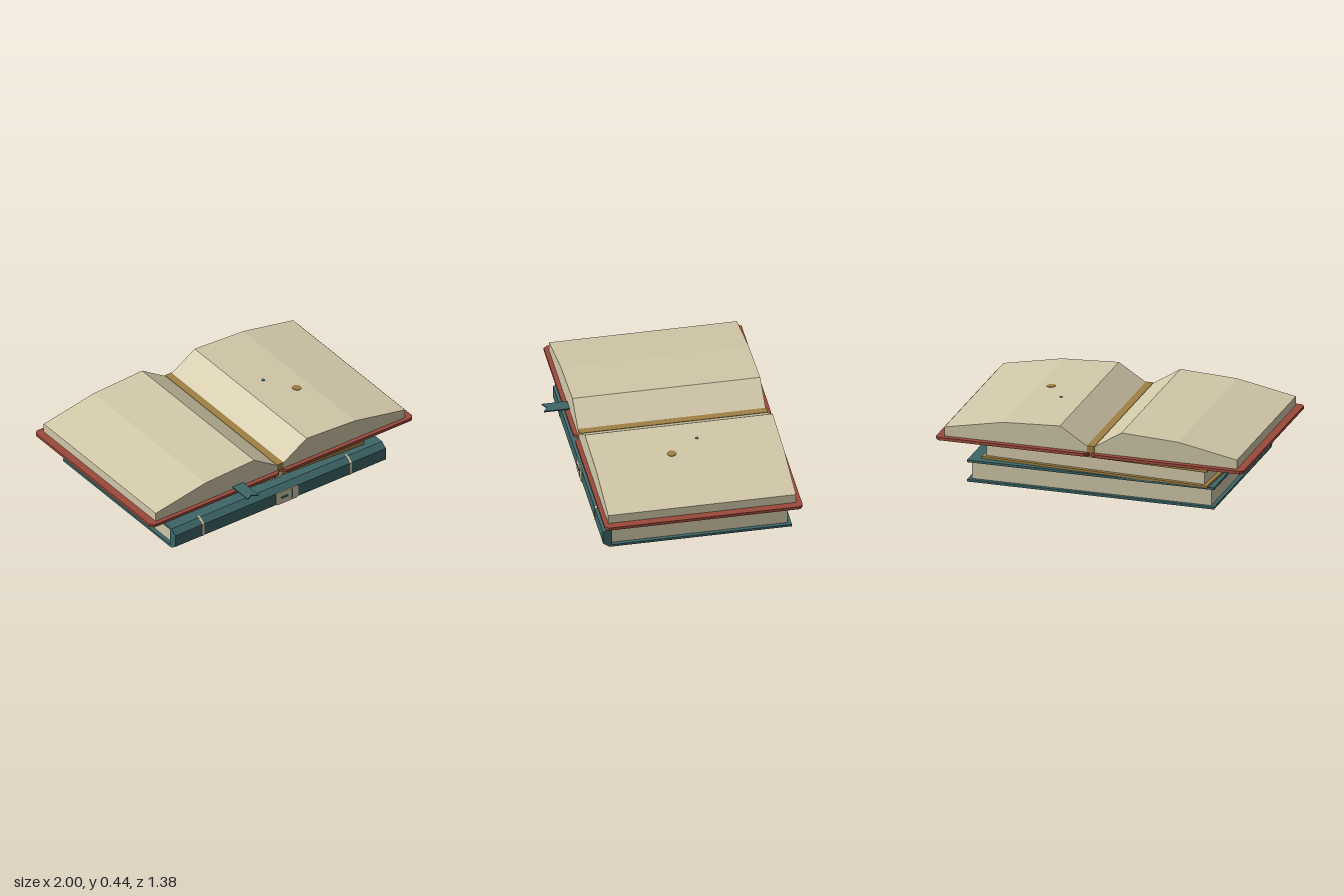
import * as THREE from 'three';

const mat = (name, color) => {
  const m = new THREE.MeshStandardMaterial({ color });
  m.name = name;
  return m;
};

export function createModel() {
  const model = new THREE.Group();
  model.name = 'bookStack';
  const teal = mat('teal', 0x3d6668);
  const gold = mat('gold', 0xa08044);
  const red = mat('red', 0x9b4a3b);
  const cream = mat('cream', 0xd3c9aa);

  const add = (parent, name, geo, material) => {
    const m = new THREE.Mesh(geo, material);
    m.name = name;
    parent.add(m);
    return m;
  };
  // box given by its limits on each axis
  const box = (x0, x1, y0, y1, z0, z1) =>
    new THREE.BoxGeometry(x1 - x0, y1 - y0, z1 - z0)
      .translate((x0 + x1) / 2, (y0 + y1) / 2, (z0 + z1) / 2);
  const extrude = (pts, depth) =>
    new THREE.ExtrudeGeometry(new THREE.Shape(pts.map(p => new THREE.Vector2(...p))),
      { depth, bevelEnabled: false });
  // (z, y) profile extruded along x, centred on x
  const alongX = (pts, x, width) =>
    extrude(pts, width).translate(0, 0, -width / 2).rotateY(-Math.PI / 2).translate(x, 0, 0);
  // (x, z) outline laid flat with its underside at y
  const flat = (pts, y, thick) =>
    extrude(pts.map(([x, z]) => [x, -z]), thick).rotateX(-Math.PI / 2).translate(0, y, 0);

  // closed book: two boards, page block, faceted spine, bands and label
  function closedBook(name, o) {
    const g = new THREE.Group();
    g.name = name;
    const { w, h, front, back, color, t = 0.015 } = o;
    const hinge = front - 0.04;
    const profile = e => [
      [front - 0.055, -e], [hinge, -e], [front + e, 0.03 - e / 2],
      [front + e, h - 0.03 + e / 2], [hinge, h + e], [front - 0.055, h + e],
    ];
    add(g, 'lowerCover', box(-w, w, 0, t, back, front - 0.05), color);
    add(g, 'upperCover', box(-w, w, h - t, h, back, front - 0.05), color);
    add(g, 'pageBlock', box(-w + 0.025, w - 0.025, t, h - t, back + 0.025, front - 0.05), cream);
    add(g, 'spine', alongX(profile(0), 0, 2 * w), color);
    o.bands.forEach(x => add(g, 'spineBand', alongX(profile(0.002), x, 0.015), cream));
    // label with its two-stroke mark
    const cx = o.label, cy = h / 2, lh = h / 2 - 0.027, z = front + 0.005;
    const c = 0.01, hw = 0.083;
    add(g, 'spineLabel', extrude([
      [-hw + c, -lh], [hw - c, -lh], [hw, -lh + c], [hw, lh - c],
      [hw - c, lh], [-hw + c, lh], [-hw, lh - c], [-hw, -lh + c],
    ], 0.006).translate(cx, cy, front - 0.001), cream);
    add(g, 'labelDash', box(cx - 0.05, cx + 0.005, cy - 0.007, cy + 0.007, z, z + 0.003), teal);
    add(g, 'labelStroke', box(cx + 0.03, cx + 0.04, cy - lh * 0.75, cy + lh * 0.75, z, z + 0.003), teal);
    model.add(g);
    return g;
  }

  closedBook('bottomBook', {
    w: 0.802, h: 0.143, front: 0.53, back: -0.66, color: teal,
    bands: [-0.59, 0.535], label: 0.048,
  });
  const middle = closedBook('middleBook', {
    w: 0.745, h: 0.118, front: 0.453, back: -0.65, color: gold,
    bands: [-0.488], label: 0.05,
  });
  middle.position.set(-0.0525, 0.144, 0);
  middle.rotation.y = -0.05;

  // open book on top
  const open = new THREE.Group();
  open.name = 'openBook';
  model.add(open);
  const c = 0.022, zb = -0.692, zf = 0.555;
  for (const s of [-1, 1]) {
    const side = s > 0 ? 'left' : 'right';
    // board with clipped corners
    const board = [
      [0.008, zb + 0.03], [0.035, zb], [1 - c, zb], [1, zb + c],
      [1, zf - c], [1 - c, zf], [0.035, zf], [0.008, zf - 0.03],
    ];
    add(open, side + 'Cover', flat(board.map(([x, z]) => [s * x, z]), 0.264, 0.019), red);
    // fanned page block, swelling toward the gutter
    const pages = [
      [0.02, 0.282], [0.95, 0.282], [0.95, 0.342], [0.57, 0.416], [0.2, 0.435], [0.02, 0.32],
    ];
    add(open, side + 'Pages',
      extrude(pages.map(([x, y]) => [s * x, y]), 1.183).translate(0, 0, -0.656), cream);
  }
  add(open, 'gutter', box(-0.024, 0.024, 0.277, 0.326, -0.66, 0.527), gold);
  add(open, 'spineStrip', box(-0.01, 0.01, 0.266, 0.28, -0.66, 0.527), gold);

  // small inked spots lying on the sloping page
  const spot = (name, x, z, r, m) => {
    const d = add(open, name, new THREE.CylinderGeometry(r, r, 0.004, 12), m);
    d.position.set(x, 0.435 - (x - 0.2) * 0.0514 + 0.001, z);
    d.rotation.z = -0.0514;
  };
  spot('pageSeal', 0.48, 0.035, 0.029, gold);
  spot('inkDot', 0.355, -0.147, 0.011, teal);

  // ribbon bookmark with a notched tail
  add(open, 'ribbon', flat([
    [-0.365, 0.5], [-0.283, 0.5], [-0.283, 0.69], [-0.324, 0.665], [-0.365, 0.69],
  ], 0.294, 0.008), teal);

  return model;
}
